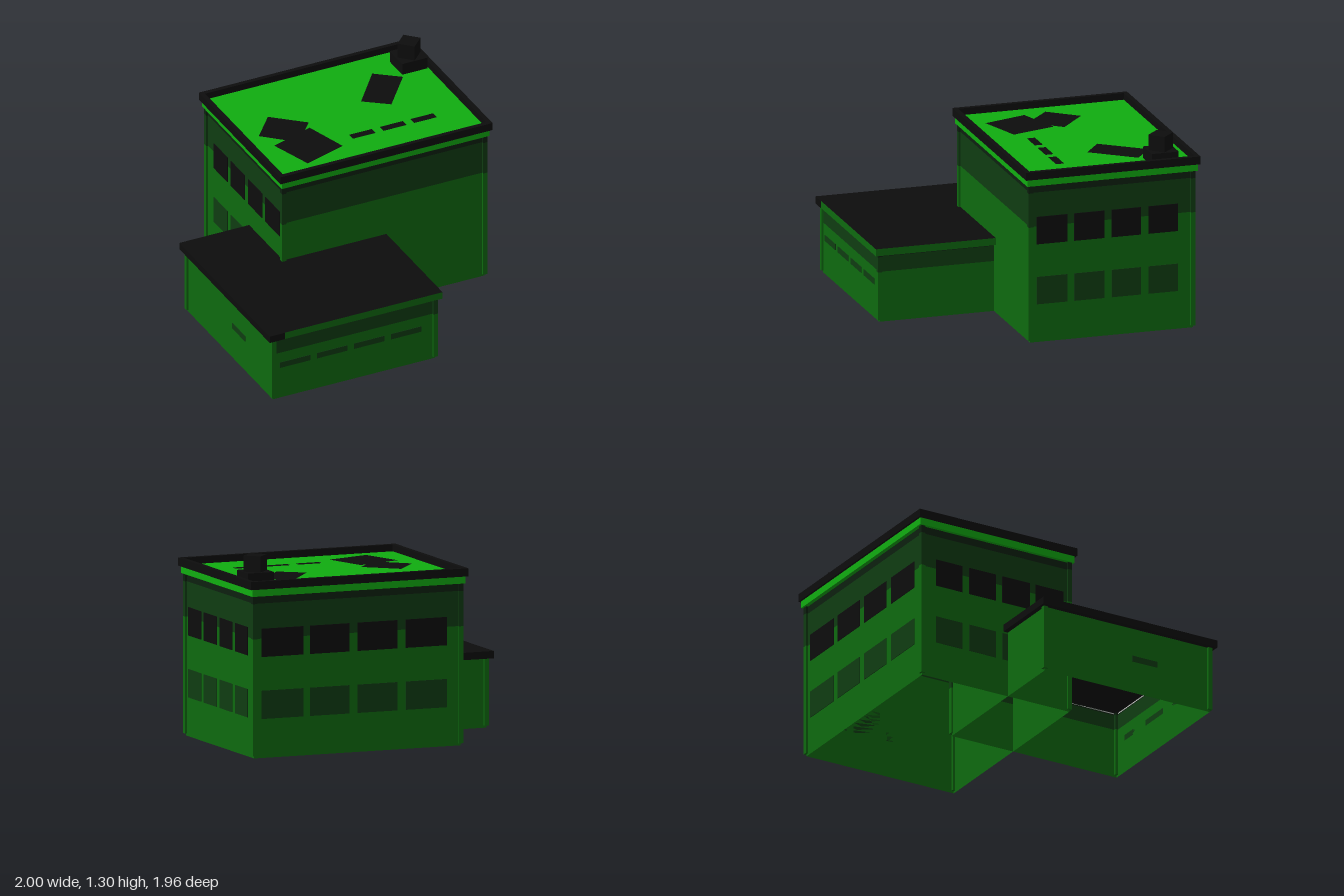
import * as THREE from 'three';

const paint = (name, color) => {
  const m = new THREE.MeshStandardMaterial({ color, side: THREE.DoubleSide });
  m.name = name;
  return m;
};

export function createModel() {
  const wallGreen = paint('wall green', 0x0e6a0f);
  const roofGreen = paint('bright roof green', 0x10ad10);
  const bandGreen = paint('dark band green', 0x0f3c12);
  const shadeGreen = paint('deepest green', 0x0d200f);
  const black = paint('black', 0x0d0d0d);
  const trimGrey = paint('light trim', 0xc4c8c4);

  const root = new THREE.Group();
  root.name = 'building';

  const add = (parent, name, geometry, material) => {
    const mesh = new THREE.Mesh(geometry, material);
    mesh.name = name;
    parent.add(mesh);
    return mesh;
  };
  // Box given by its limits on each axis
  const box = (parent, name, x0, x1, y0, y1, z0, z1, material) => {
    const mesh = add(parent, name, new THREE.BoxGeometry(x1 - x0, y1 - y0, z1 - z0), material);
    mesh.position.set((x0 + x1) / 2, (y0 + y1) / 2, (z0 + z1) / 2);
    return mesh;
  };
  // One upright wall sheet; side is 'front', 'back', 'left' (+x) or 'right' (-x)
  const sheet = (parent, name, side, a, y0, y1, material) => {
    const alongX = side === 'front' || side === 'back';
    const width = alongX ? a.x1 - a.x0 : a.z1 - a.z0;
    const mesh = add(parent, name, new THREE.PlaneGeometry(width, y1 - y0), material);
    const x = side === 'left' ? a.x1 : side === 'right' ? a.x0 : (a.x0 + a.x1) / 2;
    const z = side === 'front' ? a.z1 : side === 'back' ? a.z0 : (a.z0 + a.z1) / 2;
    mesh.position.set(x, (y0 + y1) / 2, z);
    mesh.rotation.y = { front: 0, back: Math.PI, left: Math.PI / 2, right: -Math.PI / 2 }[side];
  };
  // Hollow, bottomless walls in stacked bands, with projecting corner posts
  const shell = (parent, a, layersFor) => {
    for (const side of ['front', 'back', 'left', 'right']) {
      for (const [y0, y1, m] of layersFor(side)) sheet(parent, side + 'Wall', side, a, y0, y1, m);
    }
    const out = 0.014, inset = 0.018;
    for (const sx of [-1, 1]) for (const sz of [-1, 1]) {
      const x = sx < 0 ? [a.x0 - out, a.x0 + inset] : [a.x1 - inset, a.x1 + out];
      const z = sz < 0 ? [a.z0 - out, a.z0 + inset] : [a.z1 - inset, a.z1 + out];
      for (const [y0, y1, m] of layersFor(sx < 0 ? 'right' : 'left')) {
        box(parent, 'cornerPost', ...x, Math.max(y0, 0.015), y1, ...z, m);
      }
    }
  };

  // Main block walls
  const main = new THREE.Group();
  main.name = 'mainBlock';
  root.add(main);
  const m = { x0: -0.497, x1: 0.957, z0: -0.943, z1: 0.165 };
  const mainLayers = [[0, 0.78, wallGreen], [0.78, 1.01, bandGreen], [1.01, 1.06, shadeGreen]];
  shell(main, m, () => mainLayers);

  // Window plates, two rows on the back and both sides
  const T = 0.004;
  const sideWindows = [[-0.09, 0.12], [-0.34, -0.135], [-0.59, -0.39], [-0.84, -0.64]];
  const backWindows = [[0.61, 0.906], [0.285, 0.565], [-0.05, 0.23], [-0.4, -0.11]];
  for (const [y0, y1, mat, row] of [[0.66, 0.845, black, 'upper'], [0.255, 0.44, bandGreen, 'lower']]) {
    for (const [z0, z1] of sideWindows) {
      box(main, row + 'LeftWindow', m.x1, m.x1 + T, y0, y1, z0, z1, mat);
      if (row === 'upper' || z0 < -0.32) {
        box(main, row + 'RightWindow', m.x0 - T, m.x0, y0, y1, z0, z1, mat);
      }
    }
    for (const [x0, x1] of backWindows) {
      box(main, row + 'BackWindow', x0, x1, y0, y1, m.z0 - T, m.z0, mat);
    }
  }

  // Cornice, roof deck and parapet ring
  box(main, 'cornice', -0.52, 0.98, 1.06, 1.115, -0.97, 0.19, roofGreen);
  const P = { x0: -0.535, x1: 0.995, z0: -0.983, z1: 0.203 }, rim = 0.03;
  box(main, 'parapetFront', P.x0, P.x1, 1.107, 1.16, P.z1 - rim, P.z1, black);
  box(main, 'parapetBack', P.x0, P.x1, 1.107, 1.16, P.z0, P.z0 + rim, black);
  box(main, 'parapetLeft', P.x1 - rim, P.x1, 1.107, 1.16, P.z0 + rim, P.z1 - rim, black);
  box(main, 'parapetRight', P.x0, P.x0 + rim, 1.107, 1.16, P.z0 + rim, P.z1 - rim, black);

  // Flat dark patches on the roof deck
  const patch = (name, corners, y) => {
    const shape = new THREE.Shape(corners.map(([x, z]) => new THREE.Vector2(x, -z)));
    const mesh = add(main, name, new THREE.ShapeGeometry(shape), black);
    mesh.rotation.x = -Math.PI / 2;
    mesh.position.y = y;
  };
  patch('roofPatch', [[-0.2, -0.2], [-0.035, -0.395], [-0.24, -0.575], [-0.4, -0.385]], 1.118);
  patch('roofPatch', [[-0.27, 0.065], [0.03, -0.03], [-0.06, -0.33], [-0.365, -0.23]], 1.12);
  patch('roofPatch', [[0.545, -0.36], [0.765, -0.635], [0.605, -0.76], [0.385, -0.48]], 1.118);
  for (const x of [0.13, 0.352, 0.572]) {
    patch('roofSlot', [[x, -0.085], [x + 0.165, -0.085], [x + 0.165, -0.14], [x, -0.14]], 1.118);
  }

  // Chimney: square base with a narrower stack turned by 45 degrees
  box(main, 'chimneyBase', 0.775, 0.957, 1.115, 1.195, -0.847, -0.665, black);
  const stack = add(main, 'chimneyStack', new THREE.CylinderGeometry(0.083, 0.083, 0.12, 4).toNonIndexed(), black);
  stack.geometry.computeVertexNormals();
  stack.position.set(0.867, 1.24, -0.753);

  // Low annex walls
  const annex = new THREE.Group();
  annex.name = 'annex';
  root.add(annex);
  const a = { x0: -0.96, x1: 0.21, z0: -0.297, z1: 0.945 };
  const plain = [[0, 0.455, wallGreen]];
  const banded = [[0, 0.337, wallGreen], [0.337, 0.44, bandGreen], [0.44, 0.455, shadeGreen]];
  shell(annex, a, (side) => (side === 'front' || side === 'left' ? banded : plain));

  // Light trim just under the annex eave
  box(annex, 'frontTrim', a.x0 + 0.03, a.x1 - 0.02, 0.447, 0.455, a.z1, a.z1 + T, trimGrey);
  box(annex, 'leftTrim', a.x1, a.x1 + T, 0.447, 0.455, 0.18, a.z1 - 0.02, trimGrey);

  // Annex slit windows
  for (const x of [-0.91, -0.642, -0.375, -0.108]) {
    box(annex, 'frontSlitWindow', x, x + 0.219, 0.225, 0.265, a.z1, a.z1 + T, bandGreen);
  }
  box(annex, 'rightSlitWindow', a.x0 - T, a.x0, 0.222, 0.262, 0.36, 0.55, bandGreen);

  // Annex roof slab: black, with green fascia on the front and left edges
  box(annex, 'annexRoof', -1, 0.248, 0.455, 0.503, -0.33, 0.98,
    [wallGreen, black, black, black, wallGreen, black]);
  box(annex, 'fasciaEnd', -1, -0.89, 0.455, 0.503, 0.98, 0.982, black);

  return root;
}
